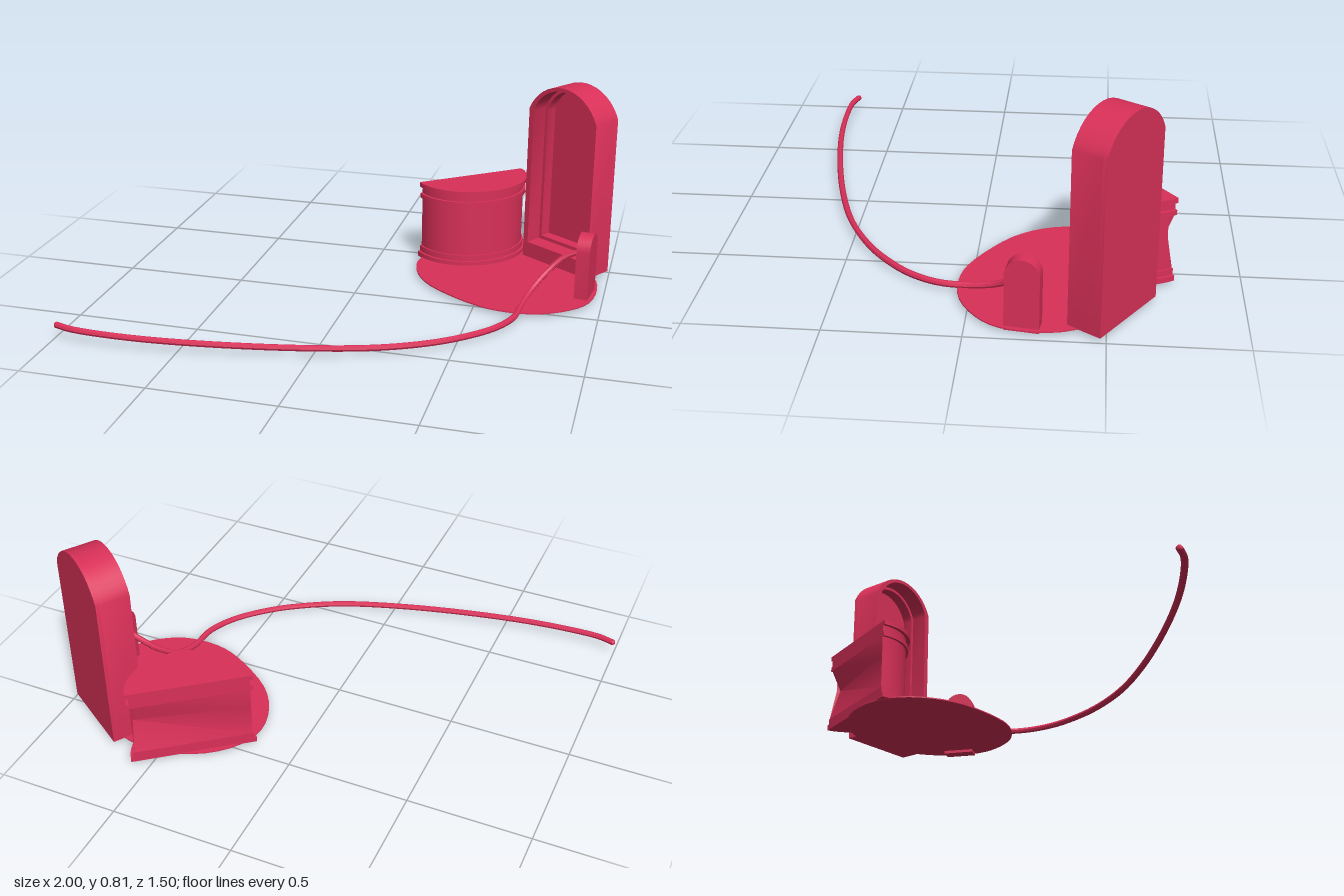
import * as THREE from 'three';
import { toCreasedNormals } from 'three/addons/utils/BufferGeometryUtils.js';

const V3 = (x, y, z) => new THREE.Vector3(x, y, z);
const V2 = (x, y) => new THREE.Vector2(x, y);

export function createModel() {
  const model = new THREE.Group();
  const crimson = new THREE.MeshStandardMaterial({ color: 0xd93058 });
  crimson.name = 'crimson';

  const add = (parent, name, geometry) => {
    const mesh = new THREE.Mesh(toCreasedNormals(geometry, 0.5), crimson);
    mesh.name = name;
    parent.add(mesh);
    return mesh;
  };
  const group = (name, x, z, turn) => {
    const g = new THREE.Group();
    g.name = name;
    g.position.set(x, 0, z);
    g.rotation.y = turn;
    model.add(g);
    return g;
  };
  const extrude = (shape, depth, steps = 1) => new THREE.ExtrudeGeometry(shape, {
    depth, steps, bevelEnabled: false, curveSegments: 20,
  });

  // Outline of an upright panel with an arched top
  const archPoints = (half, y0, spring, top, n = 16) => {
    const rise = top - spring;
    const r = (half * half + rise * rise) / (2 * rise);
    const a = rise >= half ? Math.PI / 2 : Math.asin(half / r);
    const pts = [V2(-half, y0), V2(half, y0)];
    for (let i = 0; i <= n; i++) {
      const t = a - (2 * a * i) / n;
      pts.push(V2(r * Math.sin(t), top - r + r * Math.cos(t)));
    }
    return pts;
  };

  // Thin irregular floor disc
  const rim = new THREE.CatmullRomCurve3([
    [0.185, -0.37], [0.22, -0.48], [0.31, -0.575], [0.45, -0.64], [0.61, -0.65],
    [0.75, -0.6], [0.88, -0.49], [0.955, -0.36], [0.97, -0.24], [0.945, -0.11],
    [0.88, -0.03], [0.77, 0.035], [0.65, 0.05], [0.54, 0.03], [0.4, -0.045],
    [0.28, -0.14], [0.21, -0.25],
  ].map(([x, z]) => V3(x, -z, 0)), true);
  const disc = extrude(new THREE.Shape(rim.getPoints(48).slice(0, -1).reverse().map((p) => V2(p.x, p.y))), 0.005);
  add(model, 'floorDisc', disc.rotateX(-Math.PI / 2).translate(0, 0.012, 0));

  // Tall arched niche: back wall, hollow shell, inner moulding and floor block
  const niche = group('niche', 0.805, -0.52, -0.585);
  const outer = archPoints(0.18, 0.015, 0.69, 0.81);
  add(niche, 'nicheBack', extrude(new THREE.Shape(outer), 0.015).translate(0, 0, -0.07));
  const arch = (name, out, inner, depth, z) => {
    const shape = new THREE.Shape(out);
    shape.holes.push(new THREE.Path(inner));
    add(niche, name, extrude(shape, depth).translate(0, 0, z));
  };
  arch('nicheShell', outer, archPoints(0.156, 0.085, 0.685, 0.795), 0.125, -0.055);
  arch('nicheMoulding', archPoints(0.158, 0.08, 0.685, 0.797),
    archPoints(0.143, 0.1, 0.675, 0.782), 0.05, -0.056);

  // Half-round drum with stepped base and cornice
  const drum = group('halfDrum', 0.37, -0.595, 0.656);
  const halfDisc = (rx, rz, y0, y1, steps) => {
    const pts = [];
    for (let i = 0; i <= 24; i++) {
      const t = Math.PI * (1 + i / 24);
      pts.push(V2(rx * Math.cos(t), rz * Math.sin(t)));
    }
    return extrude(new THREE.Shape(pts), y1 - y0, steps).rotateX(-Math.PI / 2).translate(0, y0, 0);
  };
  [
    ['drumPlinth', 0.253, 0.22, 0.013, 0.035],
    ['drumBaseMoulding', 0.243, 0.21, 0.035, 0.06],
    ['drumLowerCornice', 0.247, 0.213, 0.285, 0.305],
    ['drumNeck', 0.236, 0.203, 0.305, 0.335],
    ['drumTop', 0.25, 0.22, 0.335, 0.355],
  ].forEach(([name, ...dims]) => add(drum, name, halfDisc(...dims)));

  // Drum body, with one rear corner pinched in at mid height
  const body = halfDisc(0.236, 0.203, 0.06, 0.285, 2);
  const p = body.attributes.position;
  for (let i = 0; i < p.count; i++) {
    if (Math.abs(p.getY(i) - 0.1725) < 0.01) {
      p.setY(i, 0.195);
      if (p.getX(i) > 0.22 && p.getZ(i) < 0.01) p.setXYZ(i, 0.226, 0.195, 0.04);
    }
  }
  body.computeVertexNormals();
  add(drum, 'drumBody', body);

  // Small round-topped post
  const post = group('post', 0.923, -0.207, 1.43);
  add(post, 'postSlab', extrude(new THREE.Shape(archPoints(0.064, 0, 0.219, 0.283)), 0.056)
    .translate(0, 0, -0.028));

  // Long cord sweeping out from the post
  const path = new THREE.CatmullRomCurve3([
    [0.92, 0.2, -0.215], [0.885, 0.192, -0.217], [0.83, 0.165, -0.212], [0.77, 0.11, -0.178],
    [0.715, 0.05, -0.1], [0.692, 0.026, 0], [0.68, 0.025, 0.12], [0.62, 0.025, 0.24],
    [0.5, 0.026, 0.365], [0.38, 0.027, 0.45], [0.22, 0.03, 0.532], [0, 0.034, 0.605],
    [-0.3, 0.04, 0.675], [-0.6, 0.046, 0.722], [-0.82, 0.051, 0.735],
    [-0.93, 0.054, 0.73], [-0.99, 0.055, 0.713],
  ].map((c) => V3(...c)));
  add(model, 'cord', new THREE.TubeGeometry(path, 90, 0.0125, 8));
  add(model, 'cordEnd', new THREE.SphereGeometry(0.0125, 8, 6).translate(-0.989, 0.055, 0.713));

  return model;
}
